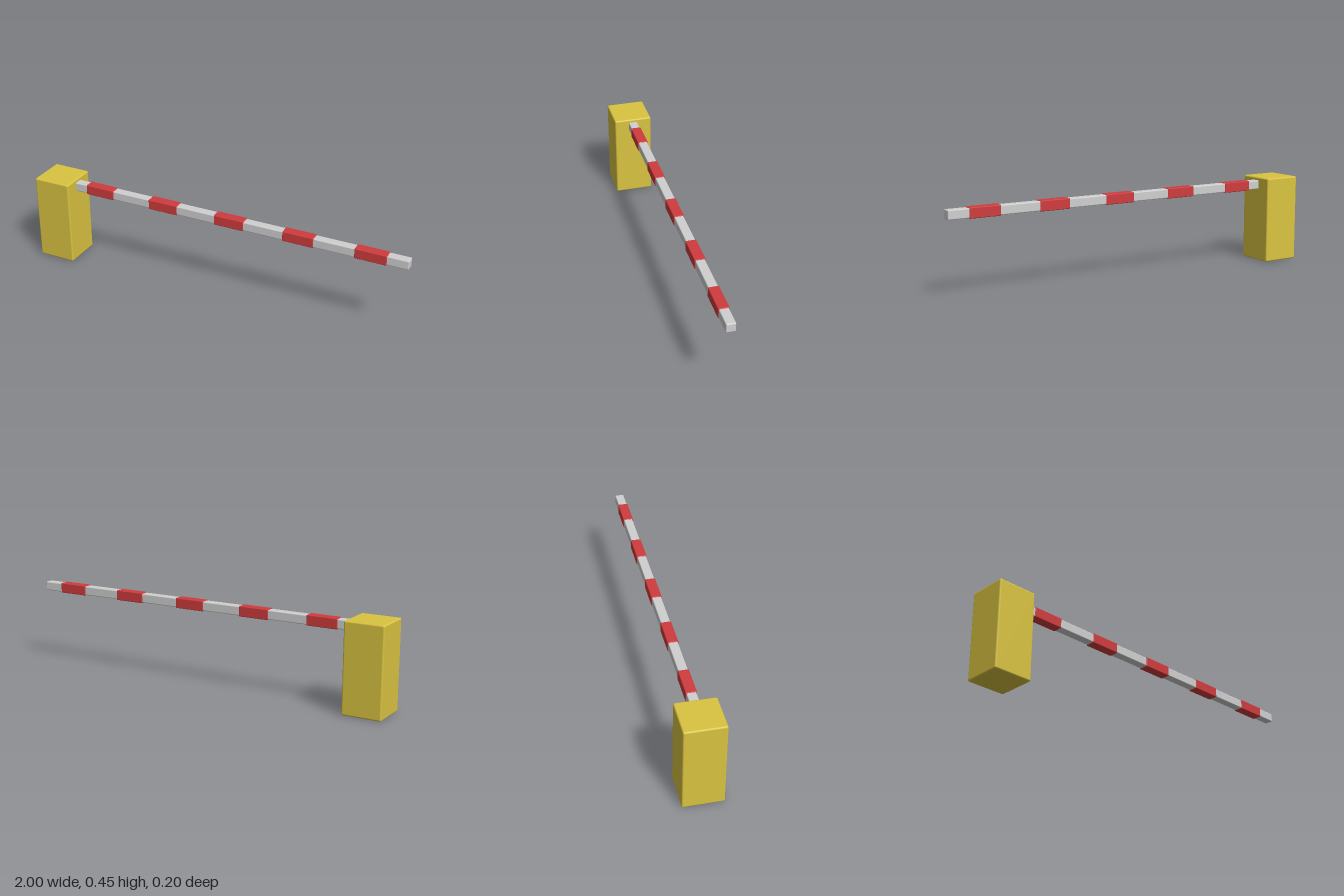
import * as THREE from 'three';
import { RoundedBoxGeometry } from 'three/addons/geometries/RoundedBoxGeometry.js';

const paint = (name, color) => {
  const m = new THREE.MeshStandardMaterial({ color });
  m.name = name;
  return m;
};

export function createModel() {
  const yellow = paint('cabinet yellow', 0xdac441);
  const grey = paint('boom light grey', 0xd0d0d0);
  const red = paint('stripe red', 0xd03c3e);
  const group = new THREE.Group();
  group.name = 'barrierGate';

  const add = (name, geometry, material, x, y) => {
    const mesh = new THREE.Mesh(geometry, material);
    mesh.name = name;
    mesh.position.set(x, y, 0);
    group.add(mesh);
  };

  // Upright cabinet with softly bevelled edges
  add('cabinet', new RoundedBoxGeometry(0.2, 0.45, 0.2, 2, 0.008), yellow, -0.9, 0.225);

  // Horizontal boom, rooted just inside the cabinet
  const boomY = 0.41, boomStart = -0.82, boomEnd = 1;
  add('boom', new RoundedBoxGeometry(boomEnd - boomStart, 0.046, 0.046, 2, 0.005),
    grey, (boomStart + boomEnd) / 2, boomY);

  // Evenly spaced sleeves, slightly proud of the boom
  const stripe = new RoundedBoxGeometry(0.16, 0.052, 0.052, 2, 0.004);
  for (let i = 0; i < 5; i++) {
    add(`stripe${i + 1}`, stripe, red, -0.654 + i * 0.367, boomY);
  }
  return group;
}
